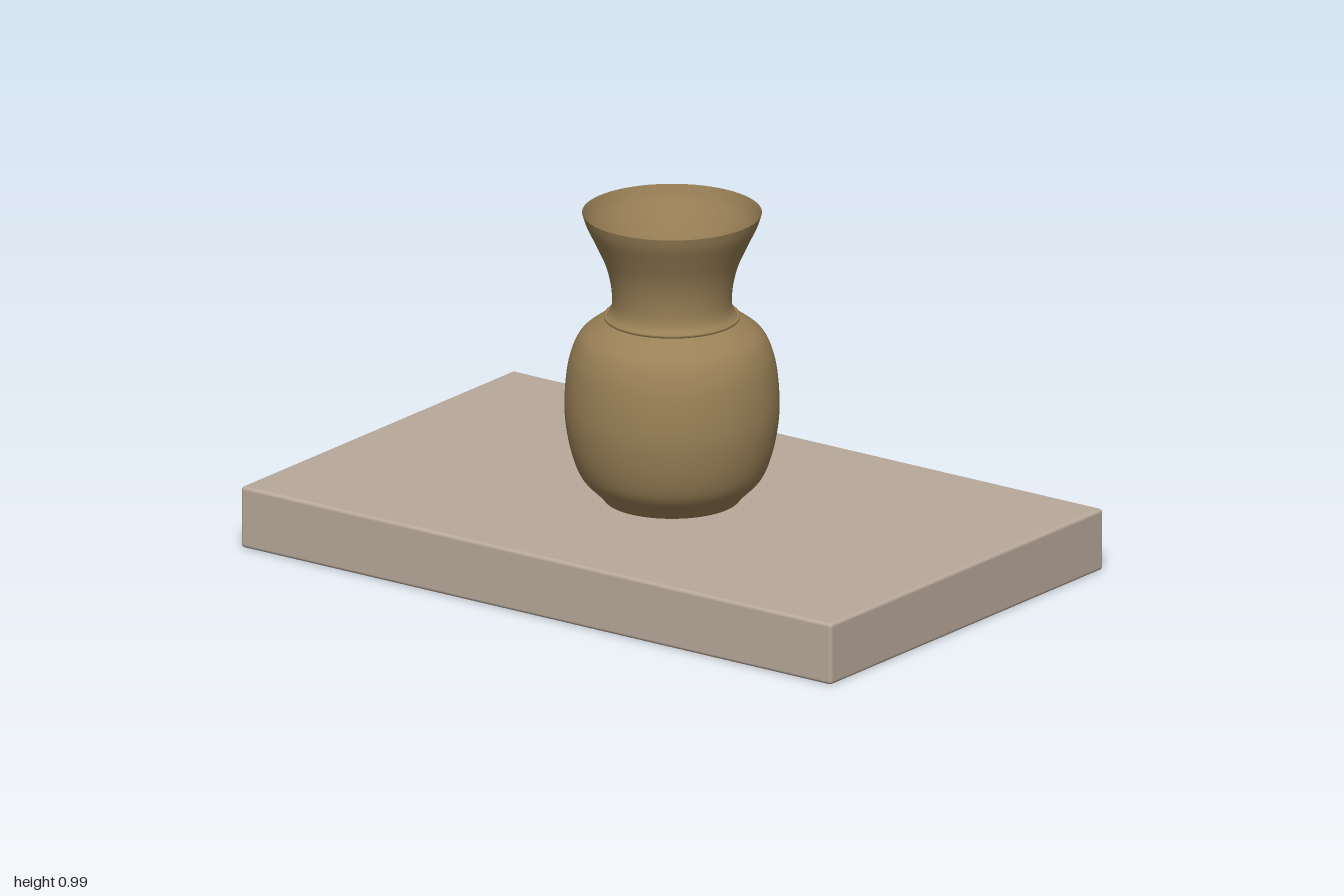
import * as THREE from 'three';
import { RoundedBoxGeometry } from 'three/addons/geometries/RoundedBoxGeometry.js';

const SEGMENTS = 64;

// Smooth profile through a few [radius, height] points
function smooth(points, divisions) {
  return new THREE.SplineCurve(points.map(([r, y]) => new THREE.Vector2(r, y))).getPoints(divisions);
}

export function createModel() {
  const stone = new THREE.MeshStandardMaterial({ color: 0xb9a99b });
  stone.name = 'stone';
  const clay = new THREE.MeshStandardMaterial({ color: 0x9a8157, side: THREE.DoubleSide });
  clay.name = 'clay';

  const model = new THREE.Group();
  const add = (name, geometry, material, y = 0) => {
    const mesh = new THREE.Mesh(geometry, material);
    mesh.name = name;
    mesh.position.y = y;
    model.add(mesh);
    return mesh;
  };

  // Slab with softened edges
  add('slab', new RoundedBoxGeometry(2, 0.175, 1.246, 3, 0.01), stone, 0.0875);

  // Round belly of the vase
  const belly = smooth([
    [0.185, 0.175], [0.205, 0.198], [0.247, 0.242], [0.273, 0.305], [0.289, 0.385], [0.293, 0.455],
    [0.287, 0.535], [0.274, 0.595], [0.251, 0.642], [0.214, 0.673], [0.182, 0.692],
  ], 40);
  add('vaseBelly', new THREE.LatheGeometry(belly, SEGMENTS), clay);

  // Thin collar between belly and neck
  const collar = [[0.176, 0.692], [0.185, 0.692], [0.185, 0.699], [0.176, 0.699]]
    .map(([r, y]) => new THREE.Vector2(r, y));
  add('vaseCollar', new THREE.LatheGeometry(collar, SEGMENTS), clay);

  // Flared open neck
  const neck = smooth([
    [0.177, 0.699], [0.167, 0.715], [0.163, 0.745], [0.168, 0.795],
    [0.183, 0.85], [0.209, 0.908], [0.233, 0.957], [0.245, 0.993],
  ], 30);
  add('vaseNeck', new THREE.LatheGeometry(neck, SEGMENTS), clay);

  // Floor inside the vase
  const floor = new THREE.CircleGeometry(0.19, SEGMENTS).rotateX(-Math.PI / 2);
  add('vaseFloor', floor, clay, 0.185);

  return model;
}
